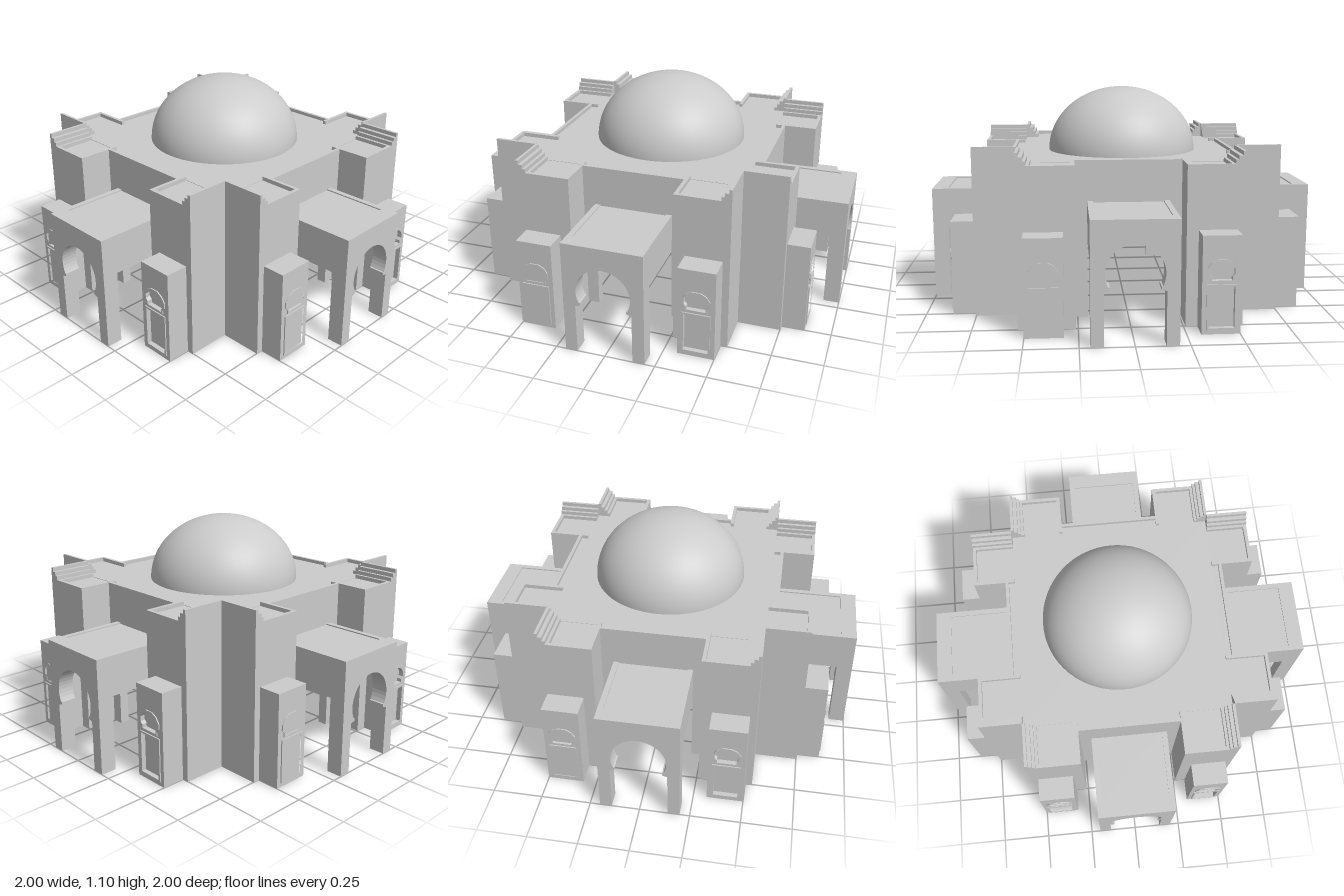
import * as THREE from 'three';

const material = new THREE.MeshStandardMaterial({ color: 0xcccccc });

function add(parent, name, geometry) {
  const mesh = new THREE.Mesh(geometry, material);
  mesh.name = name;
  parent.add(mesh);
  return mesh;
}

// Box given by its limits on each axis
function box(parent, name, [x0, x1], [y0, y1], [z0, z1]) {
  const g = new THREE.BoxGeometry(Math.abs(x1 - x0), y1 - y0, z1 - z0);
  g.translate((x0 + x1) / 2, (y0 + y1) / 2, (z0 + z1) / 2);
  return add(parent, name, g);
}

const toPoints = (list, s = 1, dx = 0) => list.map(([x, y]) => new THREE.Vector2(s * (x + dx), y));

// Front-facing outline, with optional holes, extruded from z0 to z1
function slab(parent, name, points, z0, z1, holes = []) {
  const shape = new THREE.Shape(points);
  holes.forEach((h) => shape.holes.push(new THREE.Path(h)));
  const g = new THREE.ExtrudeGeometry(shape, { depth: z1 - z0, bevelEnabled: false });
  g.translate(0, 0, z0);
  return add(parent, name, g);
}

const scaled = (points, k) => {
  const b = new THREE.Box2().setFromPoints(points);
  const c = b.getCenter(new THREE.Vector2());
  const size = b.getSize(new THREE.Vector2());
  return points.map((p) => new THREE.Vector2(
    c.x + (p.x - c.x) * (1 - 2 * k / size.x), c.y + (p.y - c.y) * (1 - 2 * k / size.y)));
};

// Wing section: sunken roof, low inner rim and stepped outer parapet
const steps = [[0.535, 0], [0.535, 0.84], [0.52, 0.84], [0.52, 0.82], [0.5, 0.82],
  [0.5, 0.8], [0.485, 0.8], [0.485, 0.78]];
const wingEnd = [[0.26, 0], ...steps, [0.26, 0.78]];
const wingSection = [[0.26, 0], ...steps, [0.47, 0.78], [0.47, 0.76], [0.278, 0.76],
  [0.278, 0.78], [0.26, 0.78]];

// Niche outlines, centred on x = 0
const nichePanel = [[-0.07, 0.022], [0.07, 0.022], [0.07, 0.24], [-0.07, 0.24]];
const nicheArch = [[-0.055, 0.25], [0.055, 0.25], [0.055, 0.27], [0.069, 0.285], [0.069, 0.315],
  [0.05, 0.342], [0.022, 0.357], [-0.022, 0.357], [-0.05, 0.342], [-0.069, 0.315],
  [-0.069, 0.285], [-0.055, 0.27]];

function wing(parent, s) {
  slab(parent, 'wing', toPoints(wingSection, s), 0.535, 0.735);
  slab(parent, 'wingFrontRim', toPoints(wingEnd, s), 0.735, 0.753);
  // Niche block in front of the wing
  const cx = 0.409;
  box(parent, 'nicheBlock', [s * 0.317, s * 0.501], [0, 0.47], [0.75, 0.843]);
  const holes = [nichePanel, nicheArch].map((h) => toPoints(h, s, cx));
  const face = toPoints([[0.317, 0], [0.501, 0], [0.501, 0.47], [0.317, 0.47]], s);
  slab(parent, 'nicheFace', face, 0.843, 0.868, holes);
  for (const h of holes) slab(parent, 'nicheFrame', h, 0.85, 0.874, [scaled(h, 0.009)]);
}

function porch(parent) {
  // Front wall with a horseshoe arch
  const p = [[-0.2, 0], [-0.14, 0], [-0.14, 0.255], [-0.115, 0.262], [-0.115, 0.275]];
  const n = 28, start = Math.PI * 1.14, sweep = Math.PI * 1.28;
  for (let i = 0; i <= n; i++) {
    const a = start - sweep * i / n;
    p.push([0.135 * Math.cos(a), 0.335 + 0.135 * Math.sin(a)]);
  }
  p.push([0.115, 0.275], [0.115, 0.262], [0.14, 0.255], [0.14, 0], [0.2, 0], [0.2, 0.58], [-0.2, 0.58]);
  slab(parent, 'porchArch', toPoints(p), 0.92, 0.97);
  // The top of the front wall forms the rim in front of the sunken roof
  slab(parent, 'porchArchFront', toPoints(p), 0.97, 1);
  for (const s of [-1, 1]) box(parent, 'porchSideBeam', [s * 0.172, s * 0.2], [0.38, 0.58], [0.585, 0.92]);
  box(parent, 'porchRoof', [-0.172, 0.172], [0.54, 0.574], [0.585, 0.92]);
}

function side(parent) {
  for (const s of [-1, 1]) wing(parent, s);
  porch(parent);
  // Wall between the wings, with a wide doorway
  slab(parent, 'doorWall', toPoints([[-0.26, 0], [-0.2, 0], [-0.2, 0.38], [0.2, 0.38],
    [0.2, 0], [0.26, 0], [0.26, 0.762], [-0.26, 0.762]]), 0.535, 0.585);
  box(parent, 'roofRim', [-0.278, 0.278], [0.755, 0.78], [0.568, 0.585]);
}

export function createModel() {
  const model = new THREE.Group();
  model.name = 'domedPavilion';

  // Four equal sides around the square hall
  ['front', 'left', 'back', 'right'].forEach((name, i) => {
    const g = new THREE.Group();
    g.name = name + 'Side';
    g.rotation.y = i * Math.PI / 2;
    side(g);
    model.add(g);
  });

  box(model, 'hallRoof', [-0.535, 0.535], [0.73, 0.762], [-0.535, 0.535]);

  // Flattened dome
  const dome = new THREE.SphereGeometry(0.395, 64, 24, 0, Math.PI * 2, 0, Math.PI / 2);
  dome.scale(1, 0.338 / 0.395, 1);
  add(model, 'dome', dome).position.set(-0.005, 0.762, -0.008);

  return model;
}
